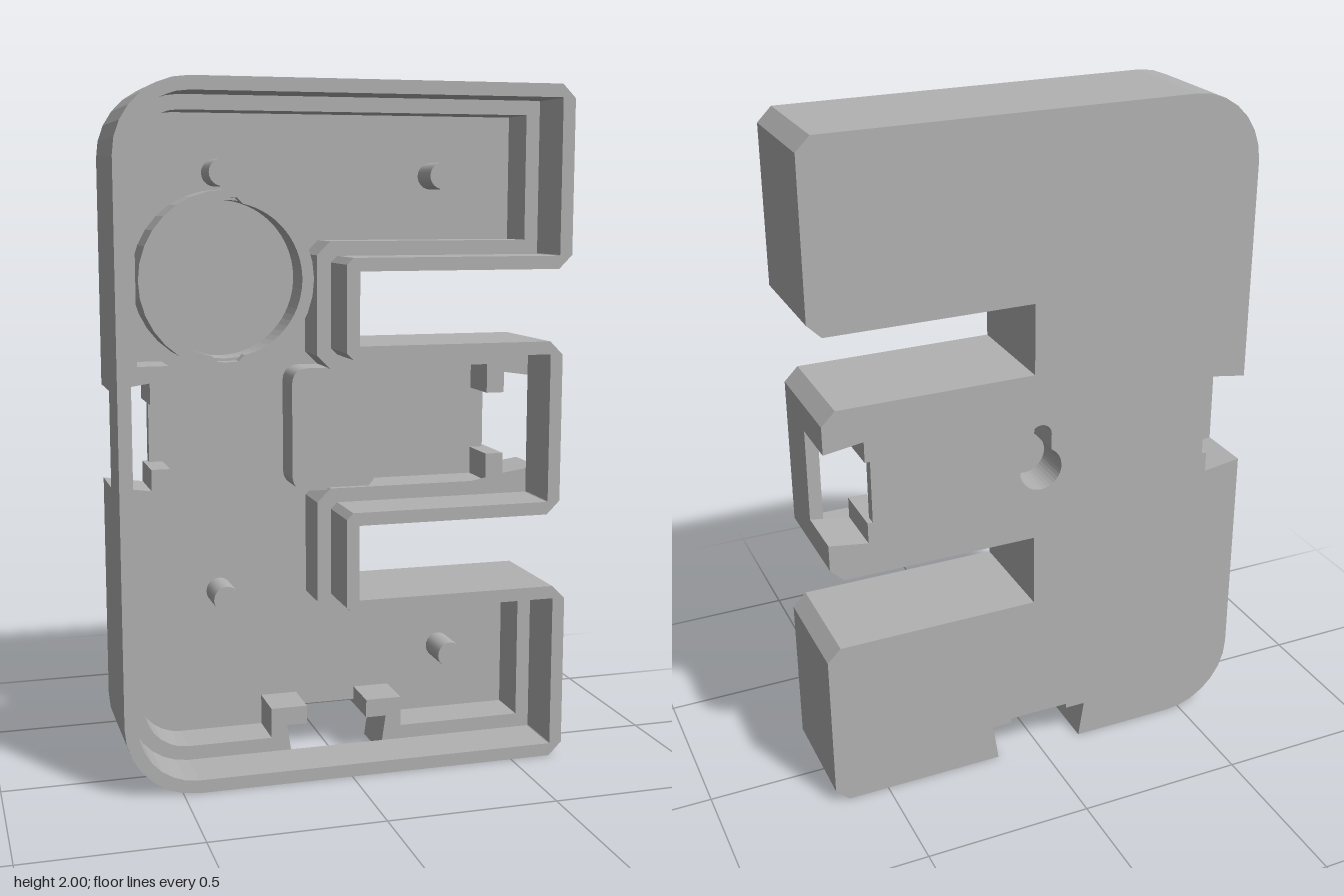
import * as THREE from 'three';

const BACK = -0.167, FLOOR = -0.135, LEDGE = 0, FRONT = 0.167;

// Lower right half of the E outline, inset by d: arm, slot (y a to b), middle arm
function half(d, a, b) {
  const c = Math.max(0, 0.04 - d), k = d * 0.5;
  const r = 0.663 - d, m = 0.64 - d, s = 0.02 - d;
  return [[r - c, d], [r, d + c], [r, a - d - c], [r - c, a - d],
    [s + k, a - d], [s, a - d + k], [s, b + d - k], [s + k, b + d],
    [m - c, b + d], [m, b + d + c]];
}

// Rounded lower left corner, running from the left side to the bottom
function corner(d) {
  const R = 0.21, pts = [];
  for (let i = 0; i <= 7; i++) {
    const t = Math.PI + (i / 7) * Math.PI / 2;
    pts.push([-0.665 + R + (R - d) * Math.cos(t), R + (R - d) * Math.sin(t)]);
  }
  return pts;
}

const mirrorY = pts => pts.map(([x, y]) => [x, 2 - y]).reverse();

// Three runs of the outline, separated by the three sockets
const runs = d => [
  half(d, 0.53, 0.75),
  [...mirrorY(half(d, 0.525, 0.735)), ...mirrorY(corner(d))],
  corner(d)
];

// Sockets: point on the outside, direction along the outline, direction inward
const sockets = [
  { p: [0, 0], t: [1, 0], n: [0, 1], w: 0.203 },
  { p: [0.64, 1.005], t: [0, 1], n: [-1, 0], w: 0.185 },
  { p: [-0.665, 1.005], t: [0, -1], n: [1, 0], w: 0.203 }
];

const place = (k, s, list) => list.map(([u, d]) => [
  k.p[0] + k.t[0] * u * s + k.n[0] * d,
  k.p[1] + k.t[1] * u * s + k.n[1] * d
]);
const dovetail = [[0.138, 0], [0.155, 0.115], [0.093, 0.115]];

function toShape(pts, Type = THREE.Shape) {
  const clean = pts.filter((p, i) => {
    const q = pts[(i + 1) % pts.length];
    return Math.hypot(p[0] - q[0], p[1] - q[1]) > 1e-5;
  });
  return new Type(clean.map(p => new THREE.Vector2(p[0], p[1])));
}

// Round head with a narrower slot above it
function keyhole() {
  const h = new THREE.Path(), a = Math.asin(0.033 / 0.065);
  h.absarc(0, 0.97, 0.065, Math.PI / 2 + a, Math.PI * 2.5 - a, false);
  h.absarc(0, 1.075, 0.033, 0, Math.PI, false);
  h.closePath();
  return h;
}

export function createModel() {
  const group = new THREE.Group();
  const grey = new THREE.MeshStandardMaterial({ color: 0xb2b2b2 });

  const add = (name, geometry) => {
    const mesh = new THREE.Mesh(geometry, grey);
    mesh.name = name;
    group.add(mesh);
    return mesh;
  };
  const slab = (name, shape, z0, z1) => {
    const g = new THREE.ExtrudeGeometry(shape, { depth: z1 - z0, bevelEnabled: false, curveSegments: 16 });
    return add(name, g.translate(0, 0, z0));
  };

  // Back plate with the socket cutouts and the hanging hole
  const outer = runs(0), inner = runs(0.08), cut = [...dovetail, [0.093, 0.13]];
  const platePts = [];
  outer.forEach((run, i) => {
    platePts.push(...place(sockets[i], 1, [...cut].reverse()), ...run,
      ...place(sockets[(i + 1) % 3], -1, cut));
  });
  const plate = toShape(platePts);
  plate.holes.push(keyhole());
  slab('backPlate', plate, BACK, FLOOR);

  // Thick lower walls, ending in the socket jaws
  outer.forEach((run, i) => {
    const a = sockets[i], b = sockets[(i + 1) % 3];
    const jaw = k => [...dovetail, [0.093, 0.17], [k.w, 0.17], [k.w, 0.08]];
    slab('lowerWall', toShape([
      ...place(a, 1, jaw(a).reverse()), ...run,
      ...place(b, -1, jaw(b)), ...[...inner[i]].reverse()
    ]), FLOOR, LEDGE);
  });

  // Thin front rim
  const rim = toShape(outer.flat());
  rim.holes.push(toShape(runs(0.038).flat(), THREE.Path));
  slab('frontRim', rim, LEDGE, FRONT);

  // Hollow pad behind the hanging hole
  const padShape = () => {
    const s = new THREE.Shape(), x0 = -0.13, x1 = 0.125, y0 = 0.823, y1 = 1.187, r = 0.05;
    s.moveTo(x0 + r, y0);
    s.lineTo(x1 - 0.03, y0);
    s.quadraticCurveTo(x1, y0 + 0.02, x1, y0 + r);
    s.lineTo(x1, y1 - r);
    s.quadraticCurveTo(x1, y1 - 0.02, x1 - 0.03, y1);
    s.lineTo(x0 + r, y1);
    s.quadraticCurveTo(x0, y1, x0, y1 - r);
    s.lineTo(x0, y0 + r);
    s.quadraticCurveTo(x0, y0, x0 + r, y0);
    return s;
  };
  const padWall = padShape();
  padWall.holes.push(keyhole());
  slab('hangerPadWall', padWall, FLOOR, -0.05);
  slab('hangerPadCap', padShape(), -0.05, -0.02);

  // Round holder with a small notch at the top and the bottom of its lip
  const ringLayer = (name, rIn, notch, z0, z1) => {
    const s = new THREE.Shape().absarc(0, 0, 0.255, 0, Math.PI * 2, false);
    const pts = [];
    for (let i = 0; i < 72; i++) {
      const t = (i + 0.5) / 72 * Math.PI * 2;
      const r = Math.abs(Math.cos(t)) < 0.17 ? rIn + notch : rIn;
      pts.push([r * Math.cos(t), r * Math.sin(t)]);
    }
    s.holes.push(toShape(pts, THREE.Path));
    slab(name, s, z0, z1).position.set(-0.322, 1.447, 0);
  };
  ringLayer('roundHolder', 0.226, 0, FLOOR, -0.04);
  ringLayer('roundHolderLip', 0.22, 0.014, -0.04, -0.005);

  // Mounting pegs
  for (const [x, y] of [[-0.33, 1.75], [0.33, 1.743], [-0.33, 0.51], [0.37, 0.283]]) {
    const peg = new THREE.CylinderGeometry(0.039, 0.039, 0.115, 24).rotateX(Math.PI / 2);
    add('mountingPeg', peg).position.set(x, y, FLOOR + 0.0575);
  }

  return group;
}
